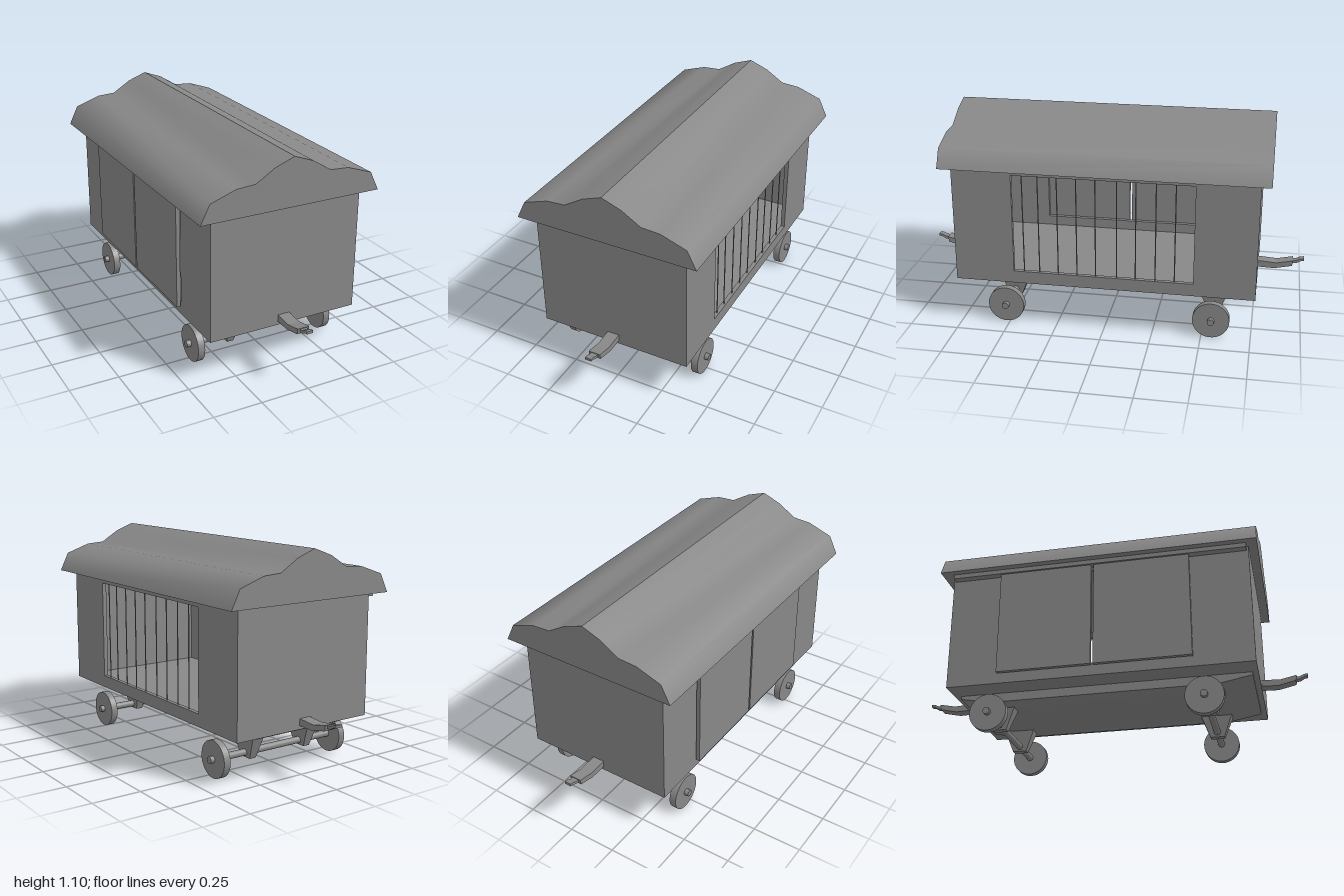
import * as THREE from 'three';

const COLOR = 0x888888;
const grey = new THREE.MeshStandardMaterial({ color: COLOR });
const greyFlat = new THREE.MeshStandardMaterial({ color: COLOR, flatShading: true });
const greyThin = new THREE.MeshStandardMaterial({ color: COLOR, side: THREE.DoubleSide });
const Y0 = 0.235, Y1 = 0.855, HX = 0.397, ZF = 0.77, ZB = -0.765, ROOF_Z = 0.815;

export function createModel() {
  const wagon = new THREE.Group();
  wagon.name = 'wagon';

  const add = (name, geometry, material = grey) => {
    const mesh = new THREE.Mesh(geometry, material);
    mesh.name = name;
    wagon.add(mesh);
    return mesh;
  };
  // Box given by its limits on each axis
  const box = (name, x0, x1, y0, y1, z0, z1) =>
    add(name, new THREE.BoxGeometry(x1 - x0, y1 - y0, z1 - z0))
      .position.set((x0 + x1) / 2, (y0 + y1) / 2, (z0 + z1) / 2);
  const rect = (Type, x0, x1, y0, y1) => new Type(
    [[x0, y0], [x1, y0], [x1, y1], [x0, y1]].map(p => new THREE.Vector2(...p)));
  // Side outline of [-z, y] points, extruded across x
  const sideExtrude = (shape, x0, x1) =>
    new THREE.ExtrudeGeometry(shape, { depth: x1 - x0, bevelEnabled: false })
      .rotateY(Math.PI / 2).translate(x0, 0, 0);

  // Body: floor, end walls and side walls with a large opening
  const T = 0.022;
  box('floor', -HX, HX, Y0, Y0 + 0.012, ZB, ZF);
  box('frontWall', -HX, HX, Y0, Y1, ZF - T, ZF);
  box('backWall', -HX, HX, Y0, Y1, ZB, ZB + T);
  for (const [name, x] of [['leftWall', HX - T], ['rightWall', -HX]]) {
    const wall = rect(THREE.Shape, -ZF, -ZB, Y0, Y1);
    wall.holes.push(rect(THREE.Path, -0.463, 0.455, 0.3, 0.817));
    add(name, sideExtrude(wall, x, x + T));
  }

  // Thin cage bars in one opening
  for (const z of [0.41, 0.33, 0.233, 0.136, 0.04, -0.067, -0.163, -0.263, -0.36]) {
    const bar = add('cageBar', new THREE.CylinderGeometry(0.003, 0.003, 0.525, 8));
    bar.position.set(HX - T / 2, 0.5585, z);
  }

  // Sliding doors hung on a rail over the other opening
  box('doorRail', -0.435, -HX, 0.832, Y1, ZB + 0.01, ZF - 0.01);
  box('backDoor', -0.425, -0.405, 0.285, 0.832, -0.5, -0.022);
  box('frontDoor', -0.425, -0.405, 0.285, 0.832, -0.01, 0.475);

  // Hollow roof: two smooth slopes, gable ends and eave soffit
  const profile = [[0, 1.098], [0.1, 1.061], [0.197, 1.001], [0.293, 0.995], [0.423, 0.95], [0.47, Y1]];
  for (const side of [1, -1]) {
    const pos = [], idx = [];
    profile.forEach(([x, y], i) => {
      pos.push(side * x, y, ROOF_Z, side * x, y, -ROOF_Z);
      const a = i * 2;
      if (i < profile.length - 1) {
        if (side > 0) idx.push(a, a + 2, a + 1, a + 1, a + 2, a + 3);
        else idx.push(a, a + 1, a + 2, a + 1, a + 3, a + 2);
      }
    });
    const slope = new THREE.BufferGeometry();
    slope.setAttribute('position', new THREE.Float32BufferAttribute(pos, 3));
    slope.setIndex(idx);
    slope.computeVertexNormals();
    add('roofSlope', slope, greyThin);
  }
  const outline = [
    ...profile.slice(1).reverse(),
    ...profile.map(([x, y]) => [-x, y]),
  ].map(p => new THREE.Vector2(...p));
  for (const side of [1, -1]) {
    const gable = add('roofGable', new THREE.ShapeGeometry(new THREE.Shape(outline)), greyThin);
    gable.position.z = side * ROOF_Z;
    if (side < 0) gable.rotation.y = Math.PI;
  }
  const soffit = rect(THREE.Shape, -0.47, 0.47, -ROOF_Z, ROOF_Z);
  soffit.holes.push(rect(THREE.Path, -HX + T, HX - T, ZB + T, ZF - T));
  add('roofSoffit', new THREE.ShapeGeometry(soffit).rotateX(Math.PI / 2).translate(0, Y1, 0), greyThin);

  // Chassis: lofted tray that rises towards both ends
  const sections = [[0.743, 0.22, 0.22], [0.58, 0.19, 0.18], [-0.58, 0.19, 0.18], [-0.732, 0.22, 0.22]];
  const pos = [], idx = [];
  sections.forEach(([z, ys, yb], s) => {
    for (const [x, y] of [[-0.27, Y0], [-0.27, ys], [-0.202, yb], [0.2, yb], [0.266, ys], [0.266, Y0]]) pos.push(x, y, z);
    if (s === 0) return;
    for (let i = 0; i < 6; i++) {
      const a = (s - 1) * 6 + i, b = (s - 1) * 6 + (i + 1) % 6;
      idx.push(a, a + 6, b, b, a + 6, b + 6);
    }
  });
  for (let i = 1; i < 5; i++) idx.push(0, i, i + 1, 18, 18 + i + 1, 18 + i);
  const tray = new THREE.BufferGeometry();
  tray.setAttribute('position', new THREE.Float32BufferAttribute(pos, 3));
  tray.setIndex(idx);
  const flatTray = tray.toNonIndexed();
  flatTray.computeVertexNormals();
  add('chassis', flatTray, greyFlat);

  // Running gear: axle, tapered brackets and wheels
  for (const z of [0.518, -0.548]) {
    const axle = add('axle', new THREE.CylinderGeometry(0.0175, 0.0175, 0.8, 20).rotateZ(Math.PI / 2));
    axle.position.set(0, 0.095, z);
    for (const side of [1, -1]) {
      const wheel = add('wheel', new THREE.CylinderGeometry(0.094, 0.094, 0.036, 40).rotateZ(Math.PI / 2));
      wheel.position.set(side * 0.36, 0.095, z);
      const bracket = new THREE.BoxGeometry(0.066, 0.115, 0.16);
      const p = bracket.attributes.position;
      for (let i = 0; i < p.count; i++) {
        if (p.getY(i) < 0) { p.setX(i, p.getX(i) * 0.55); p.setZ(i, p.getZ(i) * 0.45); }
      }
      bracket.computeVertexNormals();
      add('axleBracket', bracket, greyFlat).position.set(side * 0.17 - 0.003, 0.1265, z);
    }
  }

  // Couplers: wide curved arm with a narrow hooked tip at each end
  const arm = [[0.76, 0.254], [0.85, 0.251], [0.94, 0.271], [0.945, 0.3], [0.86, 0.282], [0.76, 0.289]];
  const tip = [[0.93, 0.278], [0.965, 0.284], [0.985, 0.296], [1.0, 0.297], [1.0, 0.31], [0.98, 0.307], [0.96, 0.297], [0.93, 0.296]];
  for (const [name, points, half] of [['couplerArm', arm, 0.031], ['couplerTip', tip, 0.017]]) {
    for (const side of [1, -1]) {
      const shape = new THREE.Shape(points.map(([z, y]) => new THREE.Vector2(-z, y)));
      const part = add(name, sideExtrude(shape, -half, half));
      part.position.x = -0.003;
      if (side < 0) part.rotation.y = Math.PI;
    }
  }
  return wagon;
}
